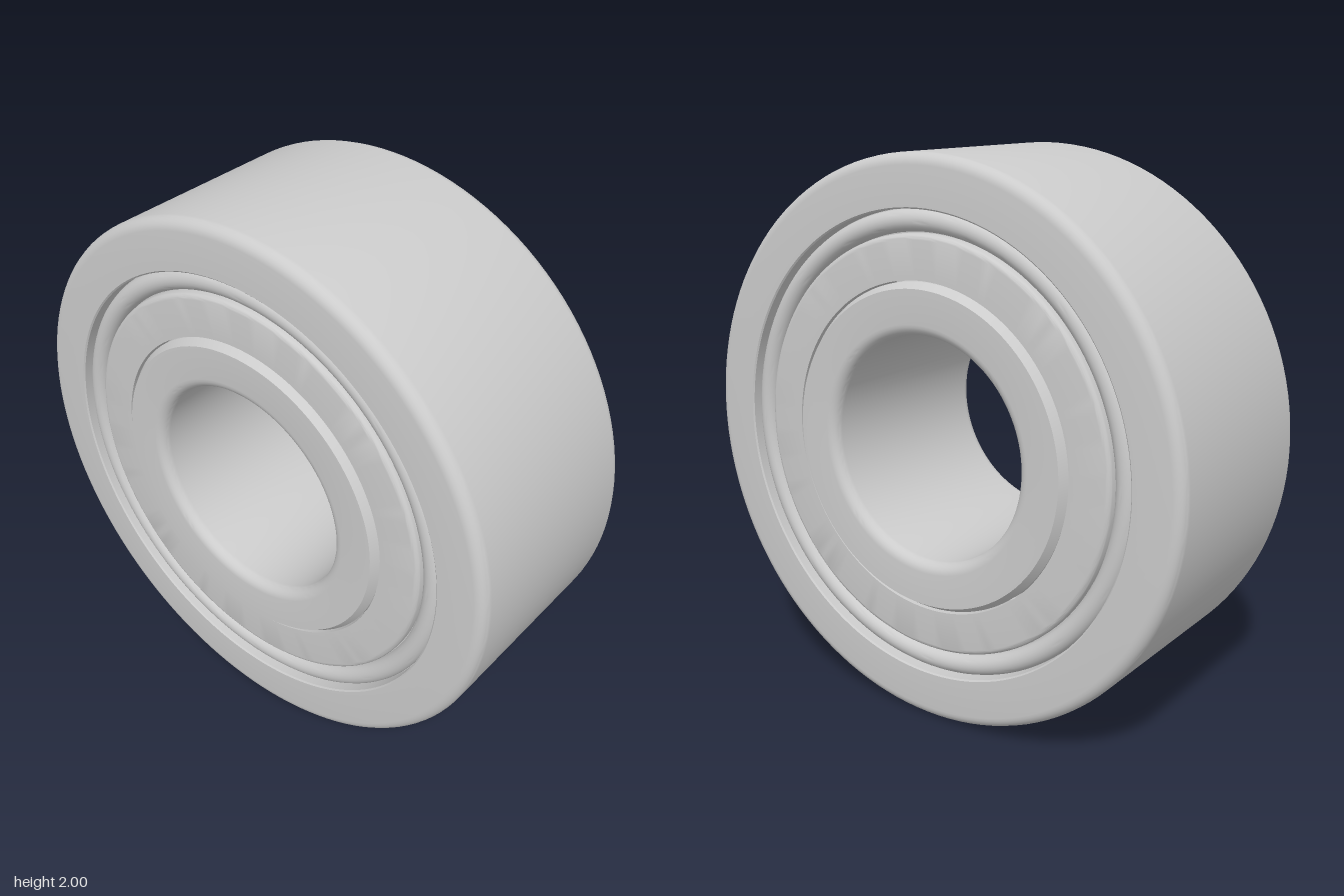
import * as THREE from 'three';
import { toCreasedNormals } from 'three/addons/utils/BufferGeometryUtils.js';

const SEGMENTS = 128;
const material = new THREE.MeshStandardMaterial({ color: 0xcccccc });

// Arc of [radius, height] points, angles in quarter turns
function arc(cr, ch, r, from, to, steps = 6) {
  return Array.from({ length: steps + 1 }, (_, i) => {
    const a = (from + (to - from) * i / steps) * Math.PI / 2;
    return [cr + r * Math.cos(a), ch + r * Math.sin(a)];
  });
}

// Revolve a closed, counter-clockwise profile about the x axis
function revolve(name, profile) {
  const points = [...profile, profile[0]].map(([r, h]) => new THREE.Vector2(r, h));
  const geometry = toCreasedNormals(new THREE.LatheGeometry(points, SEGMENTS), 0.5);
  geometry.rotateZ(-Math.PI / 2);
  const mesh = new THREE.Mesh(geometry, material);
  mesh.name = name;
  return mesh;
}

export function createModel() {
  const group = new THREE.Group();
  group.name = 'ballBearing';

  const half = 0.4, fillet = 0.04;

  // Outer race with rounded outer edges
  group.add(revolve('outerRace', [
    ...arc(1 - fillet, -half + fillet, fillet, -1, 0),
    ...arc(1 - fillet, half - fillet, fillet, 0, 1),
    [0.825, half], [0.82, half - 0.005],
    [0.82, -half + 0.005], [0.825, -half],
  ]));

  // Inner race with rounded bore edges and a small outer chamfer
  group.add(revolve('innerRace', [
    [0.56, -half], [0.58, -half + 0.03],
    [0.58, half - 0.03], [0.56, half],
    ...arc(0.4 + fillet, half - fillet, fillet, 1, 2),
    ...arc(0.4 + fillet, -half + fillet, fillet, 2, 3),
  ]));

  // Recessed shield on each side: flat disc, groove and rolled rim bead
  for (const side of [1, -1]) {
    const shield = revolve(side > 0 ? 'leftShield' : 'rightShield', [
      [0.585, 0.3], [0.82, 0.3], [0.82, 0.345],
      ...arc(0.78, 0.345, 0.038, 0, 2, 12),
      [0.742, 0.34], [0.738, 0.34],
      ...arc(0.718, 0.36, 0.02, 0, 1),
      [0.585, 0.38],
    ]);
    if (side < 0) shield.rotation.y = Math.PI;
    group.add(shield);
  }

  group.position.y = 1;
  const model = new THREE.Group();
  model.add(group);
  return model;
}
